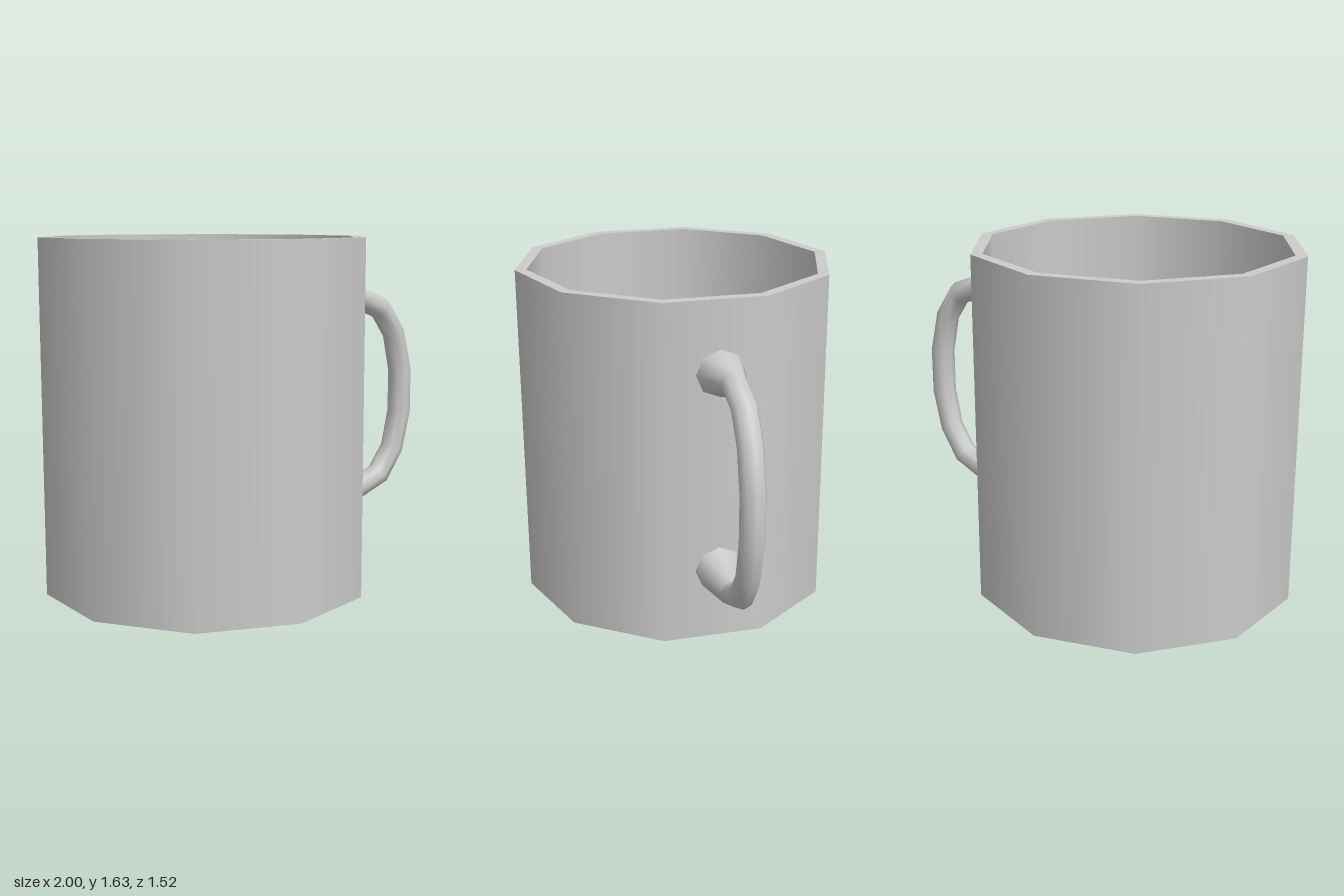
import * as THREE from 'three';
import { mergeGeometries } from 'three/addons/utils/BufferGeometryUtils.js';

const material = new THREE.MeshStandardMaterial({ color: 0xcccccc });

// Ten-sided cup: each profile segment is its own lathe, so the rims stay crisp
function makeCup() {
  const outer = 0.762, inner = 0.708, height = 1.635, floor = 0.055;
  const profile = [[0, 0], [outer, 0], [outer, height], [inner, height], [inner, floor], [0, floor]]
    .map(([x, y]) => new THREE.Vector2(x, y));
  const pieces = [];
  for (let i = 0; i < profile.length - 1; i++) {
    pieces.push(new THREE.LatheGeometry([profile[i], profile[i + 1]], 10));
  }
  const cup = new THREE.Mesh(mergeGeometries(pieces), material);
  cup.name = 'cup';
  cup.position.x = -0.275;
  return cup;
}

// Eight-sided handle with flared ends, lofted between its outer and inner outline
function makeHandle() {
  const sides = 8;
  // outer x, outer y, inner x, inner y, half width
  const sections = [
    [0.45, 1.41, 0.45, 1.192, 0.113],
    [0.66, 1.376, 0.645, 1.26, 0.058],
    [0.84, 1.305, 0.765, 1.212, 0.058],
    [0.945, 1.152, 0.843, 1.102, 0.058],
    [0.998, 0.938, 0.88, 0.928, 0.058],
    [0.998, 0.71, 0.88, 0.722, 0.058],
    [0.945, 0.498, 0.843, 0.548, 0.058],
    [0.84, 0.345, 0.765, 0.438, 0.058],
    [0.66, 0.272, 0.645, 0.388, 0.058],
    [0.45, 0.24, 0.45, 0.458, 0.113],
  ];
  const positions = [], index = [];
  sections.forEach(([ox, oy, ix, iy, w], i) => {
    for (let j = 0; j < sides; j++) {
      const a = (j / sides) * Math.PI * 2;
      const c = Math.cos(a) / 2;
      positions.push((ox + ix) / 2 + (ox - ix) * c, (oy + iy) / 2 + (oy - iy) * c, Math.sin(a) * w);
      if (i < sections.length - 1) {
        const p = i * sides + j, q = i * sides + (j + 1) % sides;
        index.push(p, q, p + sides, q, q + sides, p + sides);
      }
    }
  });
  const geometry = new THREE.BufferGeometry();
  geometry.setAttribute('position', new THREE.Float32BufferAttribute(positions, 3));
  geometry.setIndex(index);
  geometry.computeVertexNormals();
  const handle = new THREE.Mesh(geometry, material);
  handle.name = 'handle';
  handle.position.z = -0.027;
  return handle;
}

export function createModel() {
  const mug = new THREE.Group();
  mug.name = 'mug';
  mug.add(makeCup(), makeHandle());
  return mug;
}
